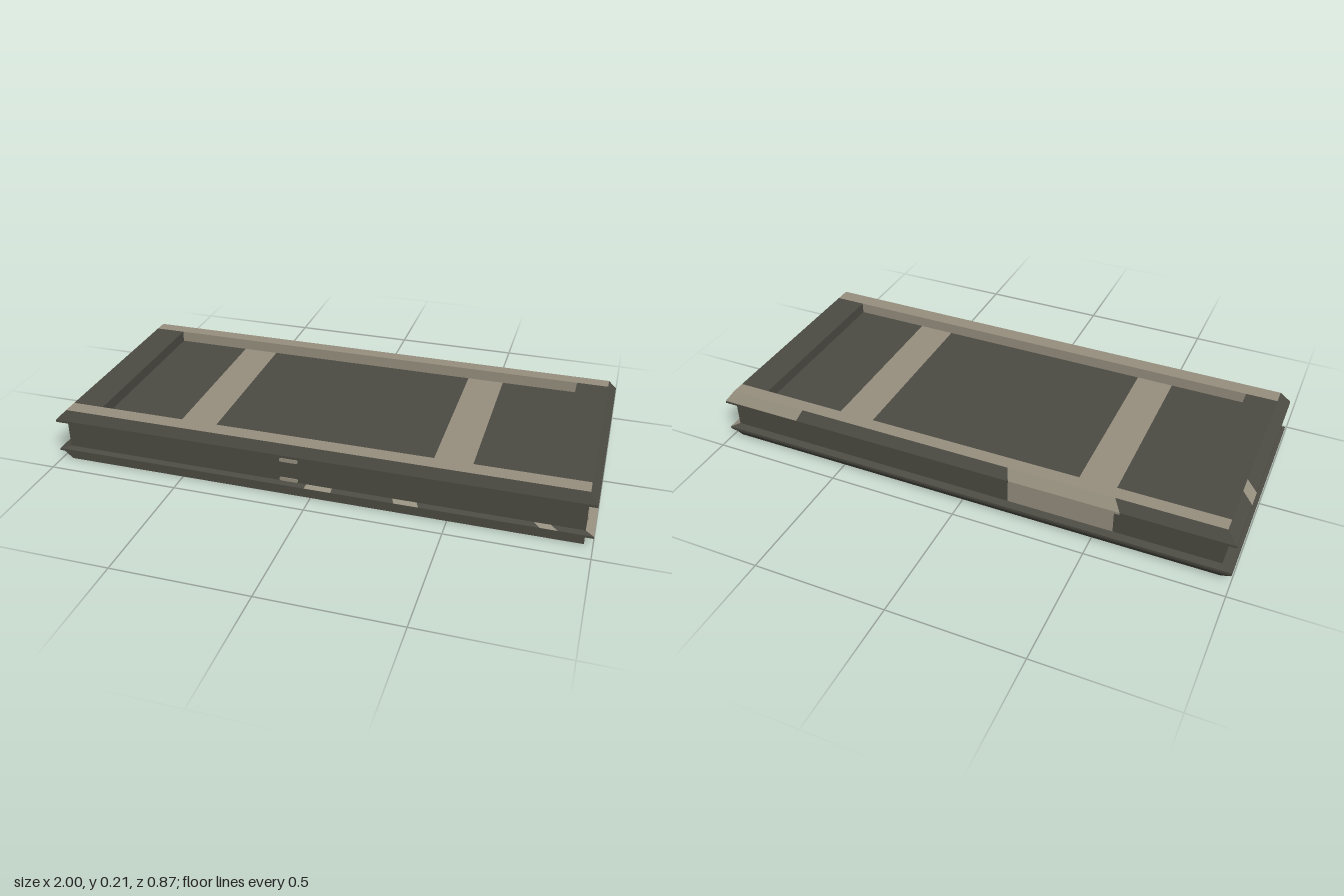
import * as THREE from 'three';

const dark = new THREE.MeshStandardMaterial({ color: 0x4c4b43 });
dark.name = 'dark metal';
const tan = new THREE.MeshStandardMaterial({ color: 0x979080 });
tan.name = 'worn tan';

// Rectangular loops from the underside panel, round the outside, to the top panel: y, x0, x1, z0, z1
const loops = [
  [0.03, -0.84, 0.85, -0.36, 0.36],
  [0, -0.84, 0.85, -0.36, 0.36],
  [0, -0.96, 0.97, -0.36, 0.36],
  [0, -0.96, 0.97, -0.412, 0.42],
  [0.03, -0.995, 0.97, -0.433, 0.42],
  [0.038, -1, 1, -0.435, 0.435],
  [0.046, -1, 1, -0.435, 0.435],
  [0.056, -0.96, 0.97, -0.412, 0.42],
  [0.155, -0.96, 0.97, -0.412, 0.42],
  [0.161, -1, 1, -0.435, 0.435],
  [0.17, -1, 1, -0.435, 0.435],
  [0.21, -0.96, 0.97, -0.412, 0.42],
  [0.21, -0.96, 0.97, -0.36, 0.36],
  [0.21, -0.84, 0.85, -0.36, 0.36],
  [0.167, -0.84, 0.85, -0.36, 0.36],
];

const ALL = [[0, 1]];
const FRONT = 0, RIGHT = 1, BACK = 2, LEFT = 3;

// Point at fraction t along one side of a loop
function sidePoint([y, x0, x1, z0, z1], side, t) {
  const c = [[x0, z1], [x1, z1], [x1, z0], [x0, z0]];
  const a = c[side], b = c[(side + 1) % 4];
  return [a[0] + (b[0] - a[0]) * t, y, a[1] + (b[1] - a[1]) * t];
}

// Mesh from quads sorted into the two colours
function quadMesh(name, quads) {
  const pos = [], geo = new THREE.BufferGeometry();
  [false, true].forEach((isTan, m) => {
    const start = pos.length / 3;
    for (const q of quads.filter((f) => f.isTan === isTan)) {
      for (const i of [0, 1, 2, 0, 2, 3]) pos.push(...q.p[i]);
    }
    geo.addGroup(start, pos.length / 3 - start, m);
  });
  geo.setAttribute('position', new THREE.Float32BufferAttribute(pos, 3));
  geo.computeVertexNormals();
  const mesh = new THREE.Mesh(geo, [dark, tan]);
  mesh.name = name;
  return mesh;
}

// Bands between loops `from` and `to`; paint[band][side] lists the tan spans
function ring(name, from, to, paint = {}) {
  const quads = [];
  for (let i = from; i < to; i++) {
    for (let s = 0; s < 4; s++) {
      const spans = paint[i]?.[s] ?? [];
      const cuts = [...new Set([0, ...spans.flat(), 1])].sort((a, b) => a - b);
      for (let k = 0; k + 1 < cuts.length; k++) {
        const [a, b] = [cuts[k], cuts[k + 1]], mid = (a + b) / 2;
        const p = [[i, a], [i, b], [i + 1, b], [i + 1, a]].map(([l, t]) => sidePoint(loops[l], s, t));
        // Leave out sides that have no width
        const d = new THREE.Vector3(...p[0]).distanceTo(new THREE.Vector3(...p[3]));
        const e = new THREE.Vector3(...p[1]).distanceTo(new THREE.Vector3(...p[2]));
        const flat = loops[i][0] === loops[i + 1][0];
        const along = s % 2 ? p[0][0] === p[3][0] : p[0][2] === p[3][2];
        if (d + e < 1e-6 || (flat && along)) continue;
        quads.push({ p, isTan: spans.some(([u, v]) => mid > u && mid < v) });
      }
    }
  }
  return quadMesh(name, quads);
}

// Flat horizontal rectangle
function floorQuad(y, x0, x1, z0, z1, isTan, down = false) {
  const p = [[x0, y, z1], [x1, y, z1], [x1, y, z0], [x0, y, z0]];
  return { p: down ? p.reverse() : p, isTan };
}

// Thin rounded mark facing +z
function mark(name, w, h) {
  const r = h / 2, s = new THREE.Shape();
  s.absarc(w / 2 - r, 0, r, -Math.PI / 2, Math.PI / 2);
  s.absarc(-w / 2 + r, 0, r, Math.PI / 2, Math.PI * 1.5);
  const mesh = new THREE.Mesh(new THREE.ExtrudeGeometry(s, { depth: 0.003, bevelEnabled: false, curveSegments: 8 }), tan);
  mesh.name = name;
  return mesh;
}

export function createModel() {
  const group = new THREE.Group();
  group.name = 'panelSlab';
  const patch = [[0.595, 0.8]];

  // Underside: rim, recess walls and panel
  group.add(ring('undersideRim', 0, 3, {
    0: [ALL, ALL, ALL, ALL],
    1: { [RIGHT]: ALL },
    2: { [FRONT]: [[0.07, 1]] },
  }));
  group.add(quadMesh('undersidePanel', [
    floorQuad(0.03, -0.84, 0.85, -0.36, 0.22, false, true),
    floorQuad(0.03, -0.84, 0.85, 0.22, 0.36, true, true),
  ]));

  // Outer edge: lower flange, web and upper flange
  group.add(ring('lowerFlange', 3, 7, {
    3: { [RIGHT]: ALL },
    5: { [RIGHT]: ALL },
    6: { [RIGHT]: ALL, [FRONT]: [[0.49, 0.54], [0.655, 0.7], [0.91, 0.94]] },
  }));
  group.add(ring('web', 7, 8, { 7: { [BACK]: patch } }));
  group.add(ring('upperFlange', 8, 11, {
    8: { [BACK]: patch },
    9: { [BACK]: patch },
    10: { [BACK]: [[0, 0.16], ...patch], [LEFT]: [[0.25, 0.33]] },
  }));

  // Top: rim, recess walls and striped panel
  group.add(ring('topRim', 11, 14, {
    11: { [FRONT]: ALL, [BACK]: ALL },
    13: { [FRONT]: ALL, [BACK]: ALL },
  }));
  const cuts = [-0.84, -0.55, -0.41, 0.42, 0.56, 0.85];
  group.add(quadMesh('topPanel', cuts.slice(1).map((x, i) =>
    floorQuad(0.167, cuts[i], x, -0.36, 0.36, i % 2 === 1))));

  // Rounded marks on the right end and the front web
  for (const z of [0.375, -0.37]) {
    const m = mark('endMark', 0.08, 0.037);
    m.rotation.y = Math.PI / 2;
    m.position.set(0.97, 0.108, z);
    group.add(m);
  }
  for (const y of [0.143, 0.064]) {
    const m = mark('frontMark', 0.07, 0.014);
    m.position.set(-0.08, y, 0.42);
    group.add(m);
  }
  return group;
}
